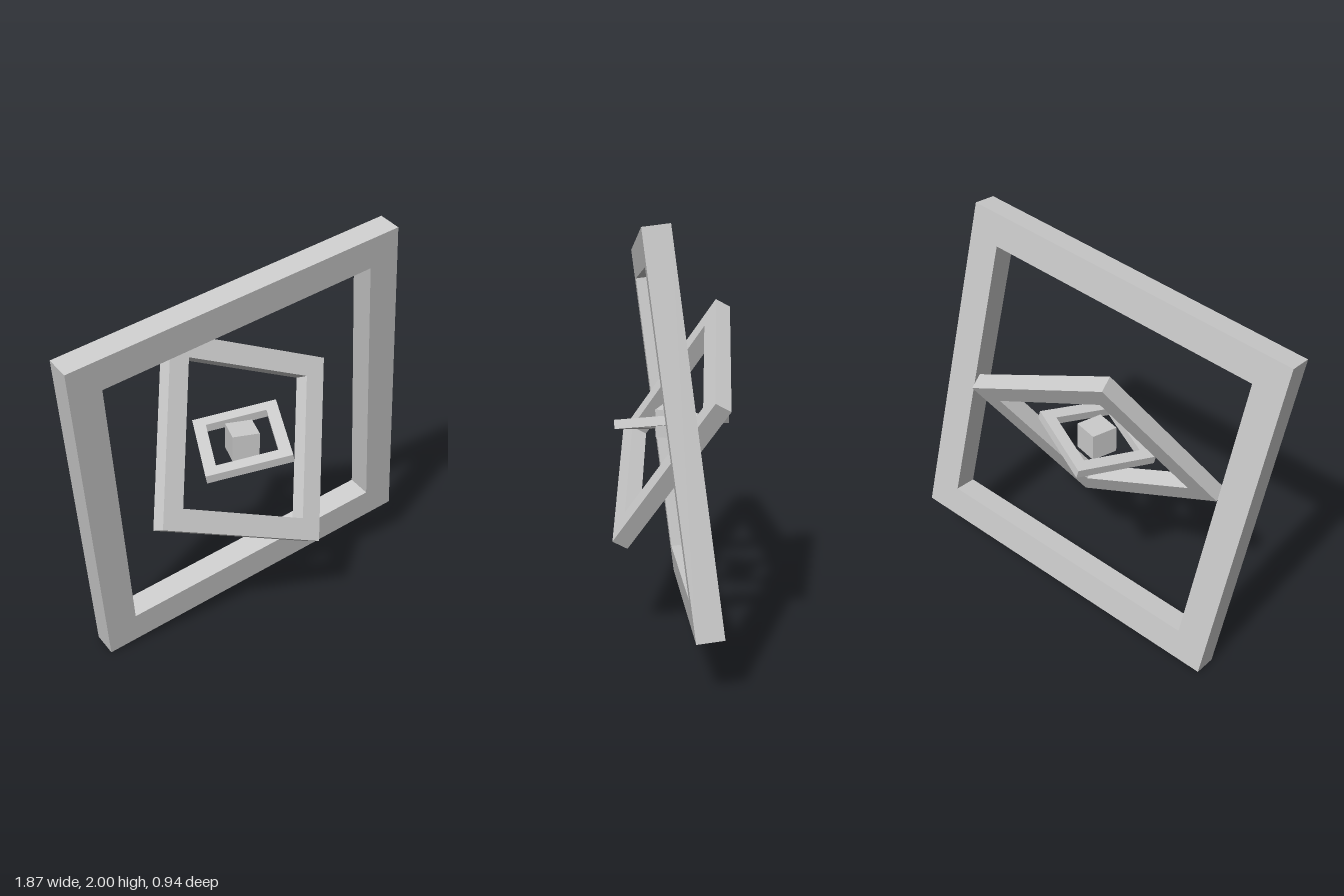
import * as THREE from 'three';

const grey = new THREE.MeshStandardMaterial({ color: 0xcccccc });
grey.name = 'plain grey';

// Square frame centred on its origin, lying in its own xy plane
function frame(name, size, hole, depth, right, up) {
  const s = size / 2, h = hole / 2;
  const shape = new THREE.Shape([[-s, -s], [s, -s], [s, s], [-s, s]].map(p => new THREE.Vector2(...p)));
  shape.holes.push(new THREE.Path([[-h, -h], [-h, h], [h, h], [h, -h]].map(p => new THREE.Vector2(...p))));
  const geometry = new THREE.ExtrudeGeometry(shape, { depth, bevelEnabled: false });
  geometry.translate(0, 0, -depth / 2);

  // Tilt the frame along its two side directions
  const u = new THREE.Vector3(...right).normalize();
  const n = u.clone().cross(new THREE.Vector3(...up)).normalize();
  const v = n.clone().cross(u);
  const mesh = new THREE.Mesh(geometry, grey);
  mesh.name = name;
  mesh.quaternion.setFromRotationMatrix(new THREE.Matrix4().makeBasis(u, v, n));
  mesh.position.y = 1;
  return mesh;
}

export function createModel() {
  const model = new THREE.Group();
  model.name = 'nestedFrames';

  // Three nested frames, each turned differently
  model.add(
    frame('outerFrame', 1.765, 1.445, 0.125, [1.66, 0.245, -0.54], [-0.16, 1.735, 0.28]),
    frame('middleFrame', 0.92, 0.708, 0.082, [0.825, -0.355, -0.195], [0.19, 0.725, -0.54]),
    frame('innerFrame', 0.425, 0.305, 0.044, [0.418, 0.085, 0.055], [0.045, 0.063, -0.41])
  );

  // Upright cube at the heart
  const cube = new THREE.Mesh(new THREE.BoxGeometry(0.135, 0.135, 0.135), grey);
  cube.name = 'coreCube';
  cube.position.y = 1;
  model.add(cube);

  return model;
}
